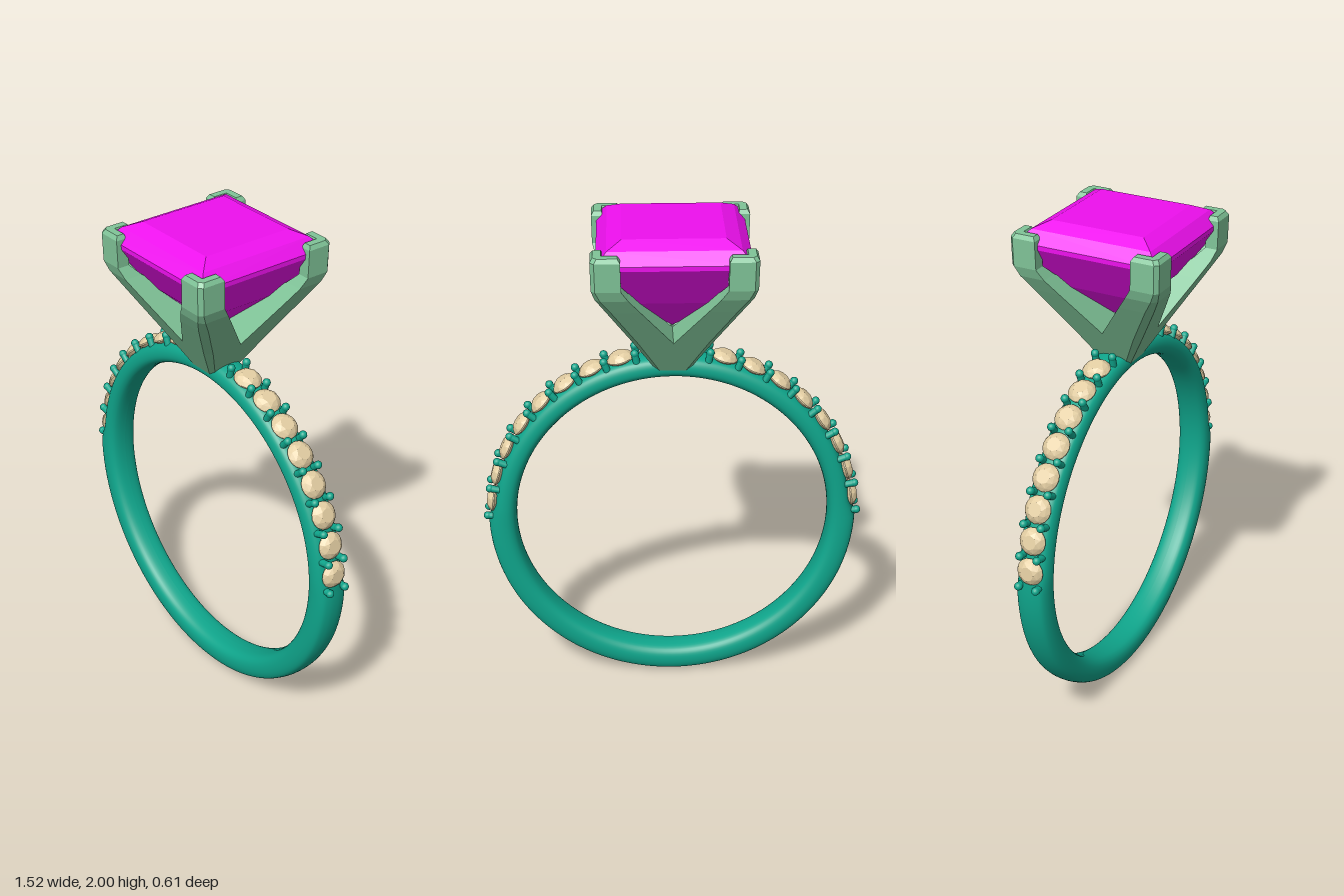
import * as THREE from 'three';
import { ConvexGeometry } from 'three/addons/geometries/ConvexGeometry.js';

const CENTER_Y = 0.745;
const paint = (color, flatShading = false) => new THREE.MeshStandardMaterial({ color, flatShading });
const teal = paint(0x0fa68c);
const green = paint(0x80c498, true);
const magenta = paint(0xee10ee, true);
const tan = paint(0xe2cda2, true);

function add(parent, name, geometry, material) {
  const mesh = new THREE.Mesh(geometry, material);
  mesh.name = name;
  parent.add(mesh);
  return mesh;
}

// n points on a level circle
function ring(n, r, y, turn = 0) {
  return Array.from({ length: n }, (_, k) => {
    const a = ((k + turn) / n) * Math.PI * 2;
    return new THREE.Vector3(r * Math.cos(a), y, r * Math.sin(a));
  });
}

// Band: rounded section turned about z, cut slightly lower under the small stones
function bandGeometry() {
  const half = [[0.638, -0.045], [0.66, -0.063], [0.7, -0.065], [0.729, -0.052], [0.74, -0.028]];
  const loop = [[0.63, 0], ...half, [0.743, 0], ...half.map(([r, z]) => [r, -z]).reverse()];
  const curve = new THREE.CatmullRomCurve3(loop.map(([r, z]) => new THREE.Vector3(r, z, 0)), true);
  const profile = curve.getPoints(48).map((p) => new THREE.Vector2(p.x, p.y));
  const geometry = new THREE.LatheGeometry(profile, 128).rotateX(Math.PI / 2);
  const pos = geometry.attributes.position;
  for (let i = 0; i < pos.count; i++) {
    const x = pos.getX(i), y = pos.getY(i), r = Math.hypot(x, y);
    const amount = THREE.MathUtils.smoothstep(y / r, 0, 0.12);
    const lowered = r - amount * 0.025 * THREE.MathUtils.smoothstep(r, 0.64, 0.74);
    pos.setXY(i, (x * lowered) / r, (y * lowered) / r);
  }
  return geometry;
}

// Small round brilliant, girdle at y = 0
function smallStoneGeometry() {
  return new ConvexGeometry([
    ...ring(8, 0.028, 0.024), ...ring(8, 0.044, 0.014, 0.5),
    ...ring(16, 0.054, 0), ...ring(16, 0.054, -0.005), new THREE.Vector3(0, -0.04, 0),
  ]);
}

// Square stone from stacked square outlines [half width, height]
function centerStoneGeometry() {
  const levels = [[0.19, 2.0], [0.245, 1.974], [0.285, 1.93], [0.285, 1.912], [0.17, 1.74]];
  const points = levels.flatMap(([h, y]) => ring(4, h * Math.SQRT2, y, 0.5));
  return new ConvexGeometry([...points, new THREE.Vector3(0, 1.58, 0)]);
}

// Claw: L-shaped section at the top that becomes a square leg toward the base
function prongGeometry() {
  // [height, inner edge, outer edge, wall thickness, corner chamfer]
  const levels = [
    [1.41, 0, 0.062, 0.062, 0.015], [1.57, 0, 0.156, 0.156, 0.025],
    [1.74, 0.124, 0.256, 0.125, 0.025], [1.80, 0.168, 0.29, 0.075, 0.02],
    [1.84, 0.194, 0.303, 0.05, 0.015], [1.95, 0.196, 0.305, 0.045, 0.015],
    [1.966, 0.206, 0.295, 0.03, 0.015],
  ];
  const section = ([, i, o, t, c]) => {
    const n = Math.max(i, o - t);
    return [[i, o], [o - c, o], [o, o - c], [o, i], [n, i], [n, n], [i, n]];
  };
  const vertices = levels.flatMap((l) => section(l).flatMap(([x, z]) => [x, l[0], z]));
  const index = [], count = 7;
  for (let j = 0; j < levels.length - 1; j++) {
    for (let k = 0; k < count; k++) {
      const a = j * count + k, b = j * count + ((k + 1) % count);
      index.push(a, b, a + count, b, b + count, a + count);
    }
  }
  // End caps fan out from the inner notch corner
  const top = (levels.length - 1) * count;
  for (let k = 0; k < count - 2; k++) {
    const p = (5 + k + 1) % count, q = (5 + k + 2) % count;
    index.push(top + 5, top + p, top + q, 5, q, p);
  }
  const geometry = new THREE.BufferGeometry();
  geometry.setAttribute('position', new THREE.Float32BufferAttribute(vertices, 3));
  geometry.setIndex(index);
  geometry.computeVertexNormals();
  return geometry;
}

export function createModel() {
  const model = new THREE.Group();
  model.name = 'ring';

  add(model, 'band', bandGeometry(), teal).position.y = CENTER_Y;

  // Rows of small stones and holding beads on both shoulders
  const stone = smallStoneGeometry();
  const bead = new THREE.SphereGeometry(0.016, 14, 10);
  const stem = new THREE.CylinderGeometry(0.014, 0.014, 0.04, 12);
  const step = 9.6;
  for (const side of [-1, 1]) {
    const shoulder = new THREE.Group();
    shoulder.name = side > 0 ? 'leftShoulder' : 'rightShoulder';
    shoulder.position.y = CENTER_Y;
    model.add(shoulder);
    // A spoke's y axis points outward from the ring's centre
    const spoke = (name, degrees) => {
      const group = new THREE.Group();
      group.name = name;
      group.rotation.z = -side * THREE.MathUtils.degToRad(90 - degrees);
      shoulder.add(group);
      return group;
    };
    for (let k = 0; k < 8; k++) {
      add(spoke('stoneSetting', 6.7 + k * step), 'smallStone', stone, tan).position.y = 0.727;
    }
    for (let k = 0; k < 9; k++) {
      const pair = spoke('beadPair', 1.9 + k * step);
      for (const z of [-0.037, 0.037]) {
        add(pair, 'bead', bead, teal).position.set(0, 0.746, z);
        add(pair, 'beadStem', stem, teal).position.set(0, 0.726, z);
      }
    }
  }

  // Head: four claws around the square stone
  const head = new THREE.Group();
  head.name = 'head';
  model.add(head);
  add(head, 'centerStone', centerStoneGeometry(), magenta);
  const prong = prongGeometry();
  for (let k = 0; k < 4; k++) add(head, 'prong', prong, green).rotation.y = (k * Math.PI) / 2;

  return model;
}
